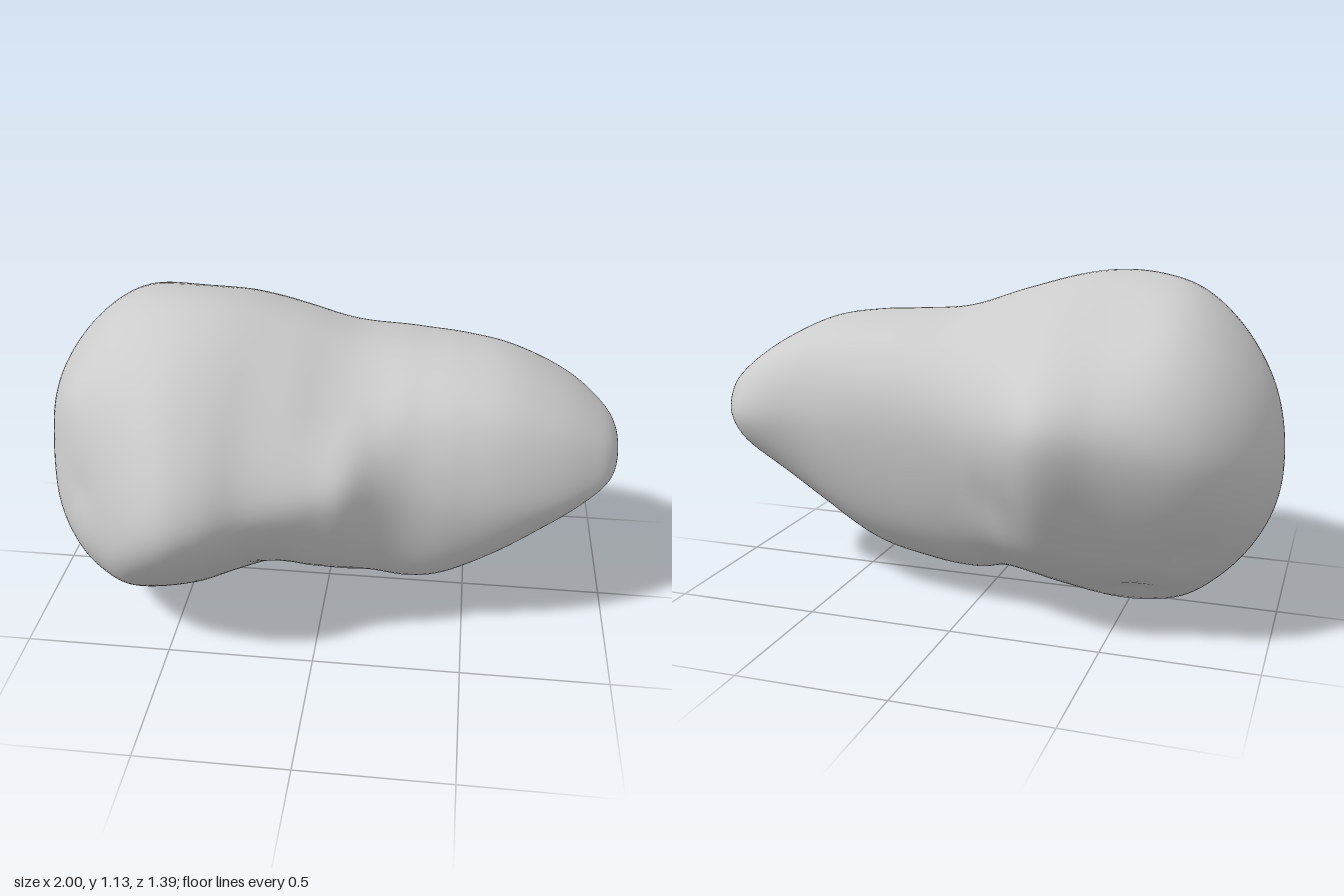
import * as THREE from 'three';
import { mergeVertices } from 'three/addons/utils/BufferGeometryUtils.js';

const STATIONS = 120, SIDES = 96;

// Smooth function of x through [x, value] pairs; the angle acos(-x) rounds off both ends
function profile(...pairs) {
  const t = pairs.map(p => Math.acos(-p[0])), v = pairs.map(p => p[1]);
  const slope = i => {
    const a = Math.max(i - 1, 0), b = Math.min(i + 1, t.length - 1);
    return (v[b] - v[a]) / (t[b] - t[a]);
  };
  return s => {
    let i = 0;
    while (i < t.length - 2 && s > t[i + 1]) i++;
    const h = t[i + 1] - t[i], u = (s - t[i]) / h, u2 = u * u, u3 = u2 * u;
    return (2 * u3 - 3 * u2 + 1) * v[i] + (u3 - 2 * u2 + u) * h * slope(i)
      + (3 * u2 - 2 * u3) * v[i + 1] + (u3 - u2) * h * slope(i + 1);
  };
}

// Outline of the rock along its length
const top = profile([-1, 0.55], [-0.97, 0.75], [-0.9, 0.89], [-0.8, 1.01], [-0.7, 1.085], [-0.6, 1.12], [-0.45, 1.135],
  [-0.3, 1.12], [-0.1, 1.065], [0.1, 1.0], [0.3, 0.98], [0.45, 0.97], [0.6, 0.945], [0.75, 0.88], [0.9, 0.78], [0.97, 0.71], [1, 0.61]);
const bottom = profile([-1, 0.55], [-0.97, 0.37], [-0.9, 0.23], [-0.8, 0.11], [-0.7, 0.035], [-0.58, 0.003], [-0.45, 0.01],
  [-0.3, 0.06], [-0.1, 0.11], [0, 0.095], [0.2, 0.105], [0.35, 0.12], [0.45, 0.155], [0.6, 0.25], [0.75, 0.36], [0.9, 0.47], [0.97, 0.54], [1, 0.61]);
const front = profile([-1, -0.1], [-0.97, 0.1], [-0.9, 0.3], [-0.8, 0.45], [-0.7, 0.54], [-0.6, 0.62], [-0.45, 0.69],
  [-0.33, 0.67], [-0.2, 0.6], [0, 0.545], [0.1, 0.52], [0.2, 0.44], [0.3, 0.395], [0.45, 0.38], [0.6, 0.36], [0.75, 0.31], [0.87, 0.24], [0.97, 0.13], [1, -0.05]);
const back = profile([-1, -0.1], [-0.97, -0.28], [-0.9, -0.43], [-0.8, -0.54], [-0.7, -0.595], [-0.5, -0.65],
  [-0.33, -0.7], [-0.2, -0.63], [-0.1, -0.545], [0, -0.48], [0.2, -0.435], [0.45, -0.39], [0.6, -0.36], [0.77, -0.34], [0.87, -0.3], [0.97, -0.17], [1, -0.05]);

// Where each outline lies on the cross-section
const topZ = profile([-1, -0.1], [-0.8, 0], [-0.45, 0.08], [0, 0.02], [0.5, 0], [1, -0.05]);
const bottomZ = profile([-1, -0.1], [-0.8, 0], [-0.5, 0], [-0.2, -0.06], [0.1, -0.1], [0.5, -0.04], [1, -0.05]);
const frontY = profile([-1, 0.55], [-0.85, 0.48], [-0.65, 0.47], [-0.45, 0.57], [-0.1, 0.63], [0.12, 0.65], [0.3, 0.59], [0.6, 0.57], [1, 0.61]);
const backY = profile([-1, 0.55], [-0.8, 0.64], [-0.33, 0.72], [-0.05, 0.68], [0.3, 0.66], [0.8, 0.63], [1, 0.61]);

// Fullness of the four corners between the outlines
const topFront = profile([-1, 0.72], [-0.75, 0.73], [-0.4, 0.66], [-0.1, 0.65], [0.1, 0.63], [0.3, 0.73], [0.7, 0.74], [1, 0.7]);
const bottomFront = profile([-1, 0.7], [-0.7, 0.65], [-0.45, 0.6], [-0.2, 0.61], [0.1, 0.68], [0.3, 0.75], [0.5, 0.74], [1, 0.69]);
const bottomBack = profile([-1, 0.7], [-0.5, 0.65], [-0.1, 0.69], [0.2, 0.7], [1, 0.69]);
const topBack = profile([-1, 0.73], [-0.7, 0.7], [-0.35, 0.62], [0, 0.7], [0.3, 0.75], [1, 0.72]);

// Closed cross-section at station angle s
function section(s) {
  const x = -Math.cos(s), t = top(s), b = bottom(s), f = front(s), k = back(s);
  const tz = topZ(s), bz = bottomZ(s), fy = frontY(s), ky = backY(s);
  const corner = (z, y, cz, cy, full) => new THREE.Vector3(x, cy + (y - cy) * full, cz + (z - cz) * full);
  return new THREE.CatmullRomCurve3([
    new THREE.Vector3(x, t, tz), corner(f, t, tz, fy, topFront(s)),
    new THREE.Vector3(x, fy, f), corner(f, b, bz, fy, bottomFront(s)),
    new THREE.Vector3(x, b, bz), corner(k, b, bz, ky, bottomBack(s)),
    new THREE.Vector3(x, ky, k), corner(k, t, tz, ky, topBack(s)),
  ], true, 'catmullrom', 0.5);
}

// Soft lumps (+) and hollows (-): centre, radius, height
const bumps = [
  [-0.76, 0.62, 0.48, 0.08, -0.015], [-0.82, 0.85, 0.33, 0.1, 0.02], [-0.05, 0.34, 0.4, 0.13, 0.02],
  [-0.15, 0.45, -0.5, 0.12, -0.02], [-0.55, 0.1, -0.25, 0.11, -0.03],
  [-0.75, 0.35, -0.38, 0.1, -0.02], [0.85, 0.6, -0.28, 0.1, 0.012],
].map(([x, y, z, r, h]) => ({ at: new THREE.Vector3(x, y, z), r, h }));

function addBumps(p) {
  const out = new THREE.Vector3(0, p.y - 0.58, p.z);
  if (out.length() < 0.01) return;
  out.normalize();
  let h = 0;
  for (const b of bumps) h += b.h * Math.exp(-p.distanceToSquared(b.at) / (b.r * b.r));
  p.addScaledVector(out, h);
}

export function createModel() {
  const positions = [], index = [];
  for (let i = 0; i <= STATIONS; i++) {
    const curve = section(Math.PI * i / STATIONS);
    const pole = i === 0 || i === STATIONS;
    for (let j = 0; j < SIDES; j++) {
      const p = curve.getPoint(j / SIDES);
      if (!pole) addBumps(p);
      positions.push(p.x, p.y, p.z);
      if (i === STATIONS) continue;
      const a = i * SIDES + j, b = i * SIDES + (j + 1) % SIDES;
      if (i > 0) index.push(a, b, a + SIDES);
      if (i < STATIONS - 1) index.push(b, b + SIDES, a + SIDES);
    }
  }
  let geometry = new THREE.BufferGeometry();
  geometry.setAttribute('position', new THREE.Float32BufferAttribute(positions, 3));
  geometry.setIndex(index);
  geometry = mergeVertices(geometry, 1e-5);
  geometry.computeVertexNormals();

  const rock = new THREE.Mesh(geometry, new THREE.MeshStandardMaterial({ color: 0xcccccc, roughness: 0.9 }));
  rock.name = 'asteroidBody';
  const group = new THREE.Group();
  group.name = 'asteroid';
  group.add(rock);
  return group;
}
